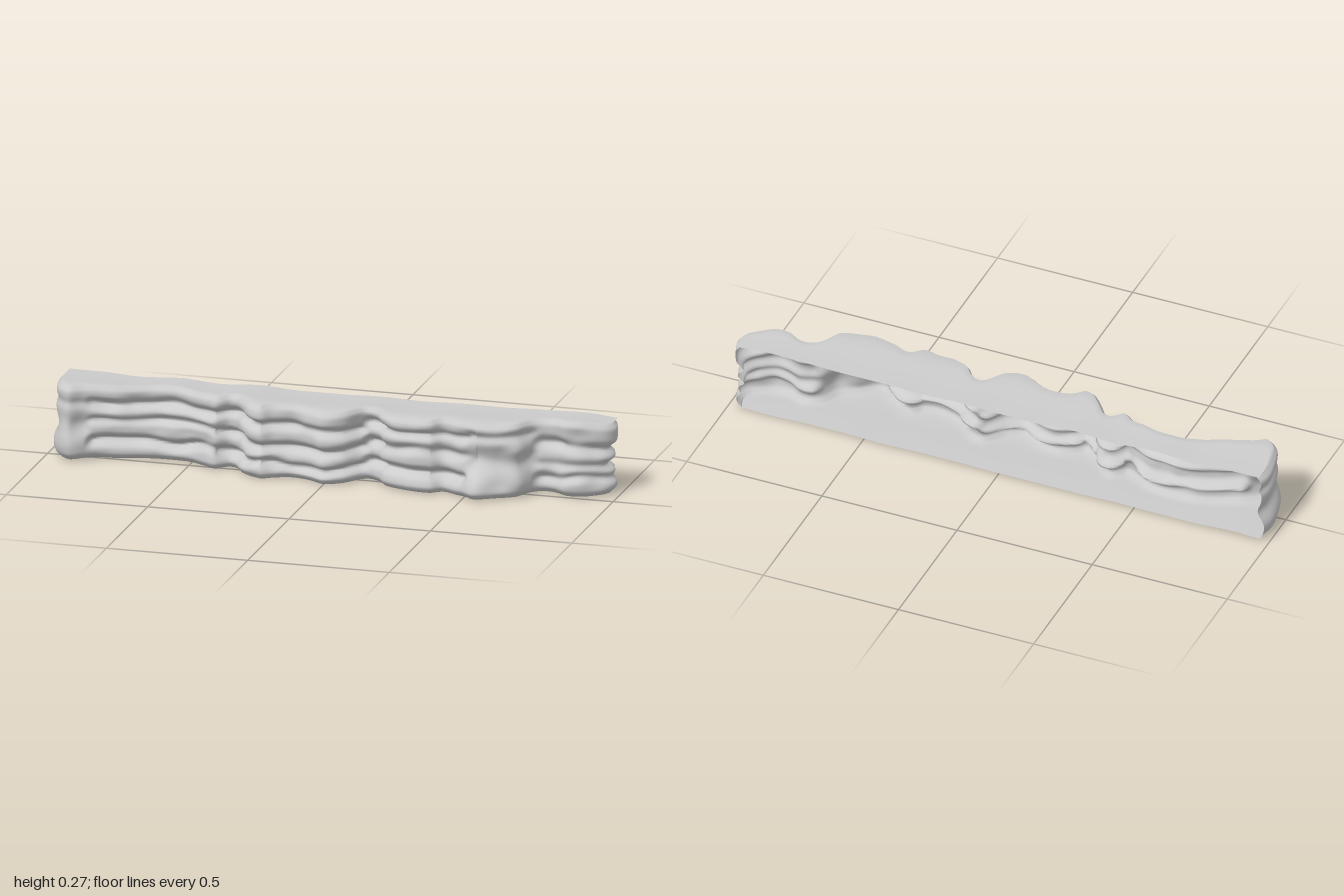
import * as THREE from 'three';

const BACK = -0.145;

// Plan outline of the rock face: x, z pairs from the right end round the front to the left end
const PLAN = [
  -0.98, BACK, -0.99, -0.09, -0.98, -0.02, -0.955, 0.05, -0.905, 0.085, -0.85, 0.055, -0.77, 0.025,
  -0.66, -0.01, -0.53, -0.015, -0.46, 0.01, -0.4, 0.035, -0.35, 0.0, -0.31, 0.045, -0.26, 0.09,
  -0.22, 0.1, -0.18, 0.07, -0.12, 0.055, -0.06, 0.08, 0, 0.11, 0.07, 0.08, 0.13, 0.01,
  0.165, 0.025, 0.2, 0.065, 0.3, 0.1, 0.38, 0.098, 0.42, 0.065, 0.47, 0.1, 0.54, 0.145,
  0.63, 0.1, 0.685, 0.068, 0.73, 0.0, 0.78, -0.015, 0.83, 0.003, 0.91, -0.008, 0.97, -0.045,
  0.99, -0.09, 0.975, BACK,
];

// Horizontal cracks between rock layers, per stretch of wall: [height 0..1, depth, width]
const LAYERS = [
  { from: -1.1, to: -0.84, cracks: [[0.45, 0.012, 0.12], [0.75, 0.01, 0.06]] },
  { from: -0.84, to: -0.3, cracks: [[0.76, 0.028, 0.06], [0.52, 0.022, 0.05], [0.24, 0.03, 0.06]] },
  { from: -0.3, to: 0.13, cracks: [[0.7, 0.03, 0.06], [0.45, 0.025, 0.06], [0.2, 0.025, 0.05]] },
  { from: 0.13, to: 0.49, cracks: [[0.8, 0.025, 0.05], [0.55, 0.03, 0.07], [0.27, 0.03, 0.06]] },
  { from: 0.49, to: 0.73, cracks: [[0.5, 0.022, 0.15], [0.85, 0.012, 0.06]] },
  { from: 0.73, to: 1.1, cracks: [[0.65, 0.025, 0.07], [0.42, 0.022, 0.06], [0.24, 0.02, 0.06]] },
];

const bump = (v, centre, width) => Math.exp(-(((v - centre) / width) ** 2));
const { smoothstep } = THREE.MathUtils;

// Small repeatable value noise
const hash = (i, j) => {
  const s = Math.sin(i * 127.1 + j * 311.7) * 43758.5453;
  return (s - Math.floor(s)) * 2 - 1;
};
function noise(x, y) {
  const i = Math.floor(x), j = Math.floor(y);
  const a = smoothstep(x - i, 0, 1), b = smoothstep(y - j, 0, 1);
  const lerp = THREE.MathUtils.lerp;
  return lerp(lerp(hash(i, j), hash(i + 1, j), a), lerp(hash(i, j + 1), hash(i + 1, j + 1), a), b);
}

// How far the wall is set back at position x and relative height t
function inset(x, t) {
  let d = 0.018 * bump(t, 0, 0.045) + 0.016 * bump(t, 1, 0.045);
  for (const { from, to, cracks } of LAYERS) {
    const weight = smoothstep(x, from - 0.015, from + 0.015) * (1 - smoothstep(x, to - 0.015, to + 0.015));
    for (const [level, depth, width] of cracks) {
      const wavy = level + 0.05 * noise(x * 9, level * 20);
      d += weight * depth * (1 + 0.5 * noise(x * 14, level * 31)) * bump(t, wavy, width);
    }
  }
  d += 0.045 * bump(x, 0.54, 0.07) * smoothstep(t, 0.05, 0.5); // jutting foot
  d += 0.008 * noise(x * 16 + 3, t * 5) + 0.004;
  return d;
}

const topY = (x, z) => 0.262 + 0.006 * noise(x * 7, 4) + 0.008 * bump(z, 0.05, 0.09);
const bottomY = (x, z) => 0.011 + 0.005 * noise(x * 7, 9) - 0.003 * bump(z, 0.04, 0.08);

function rockShell() {
  const points = [];
  for (let i = 0; i < PLAN.length; i += 2) points.push(new THREE.Vector3(PLAN[i], 0, PLAN[i + 1]));
  const path = new THREE.CatmullRomCurve3(points, false, 'centripetal');
  const columns = 320, wallRows = 36, sheetRows = 5;
  const rows = wallRows + 2 * sheetRows;
  const positions = [], index = [];

  for (let i = 0; i <= columns; i++) {
    const p = path.getPointAt(i / columns);
    const tangent = path.getTangentAt(i / columns);
    // Soften the set-back direction so narrow clefts do not fold over
    const out = new THREE.Vector3(-tangent.z * 0.6, 0, Math.max(tangent.x, 0.1)).normalize();
    const nearBack = smoothstep(p.z, BACK, BACK + 0.05);
    for (let j = 0; j <= rows; j++) {
      const t = THREE.MathUtils.clamp((j - sheetRows) / wallRows, 0, 1);
      // 0 on the wall, rising to 1 at the open back edge of the floor and top sheets
      const back = Math.max(sheetRows - j, j - sheetRows - wallRows, 0) / sheetRows;
      const d = inset(p.x, t);
      const x = p.x - out.x * d;
      const wallZ = Math.max(p.z - out.z * d * nearBack, BACK);
      const z = THREE.MathUtils.lerp(wallZ, BACK, back);
      const y = THREE.MathUtils.lerp(bottomY(x, z), topY(x, z), t);
      positions.push(x, y, z);
    }
  }
  const stride = rows + 1;
  for (let i = 0; i < columns; i++) {
    for (let j = 0; j < rows; j++) {
      const a = i * stride + j, b = a + stride;
      index.push(a, b, b + 1, a, b + 1, a + 1);
    }
  }
  const geometry = new THREE.BufferGeometry();
  geometry.setAttribute('position', new THREE.Float32BufferAttribute(positions, 3));
  geometry.setIndex(index);
  geometry.computeVertexNormals();
  return geometry;
}

export function createModel() {
  const group = new THREE.Group();
  group.name = 'rockLedge';
  // Hollow shell, open at the back
  const material = new THREE.MeshStandardMaterial({ color: 0xcccccc, side: THREE.DoubleSide });
  const shell = new THREE.Mesh(rockShell(), material);
  shell.name = 'rockShell';
  group.add(shell);
  return group;
}
